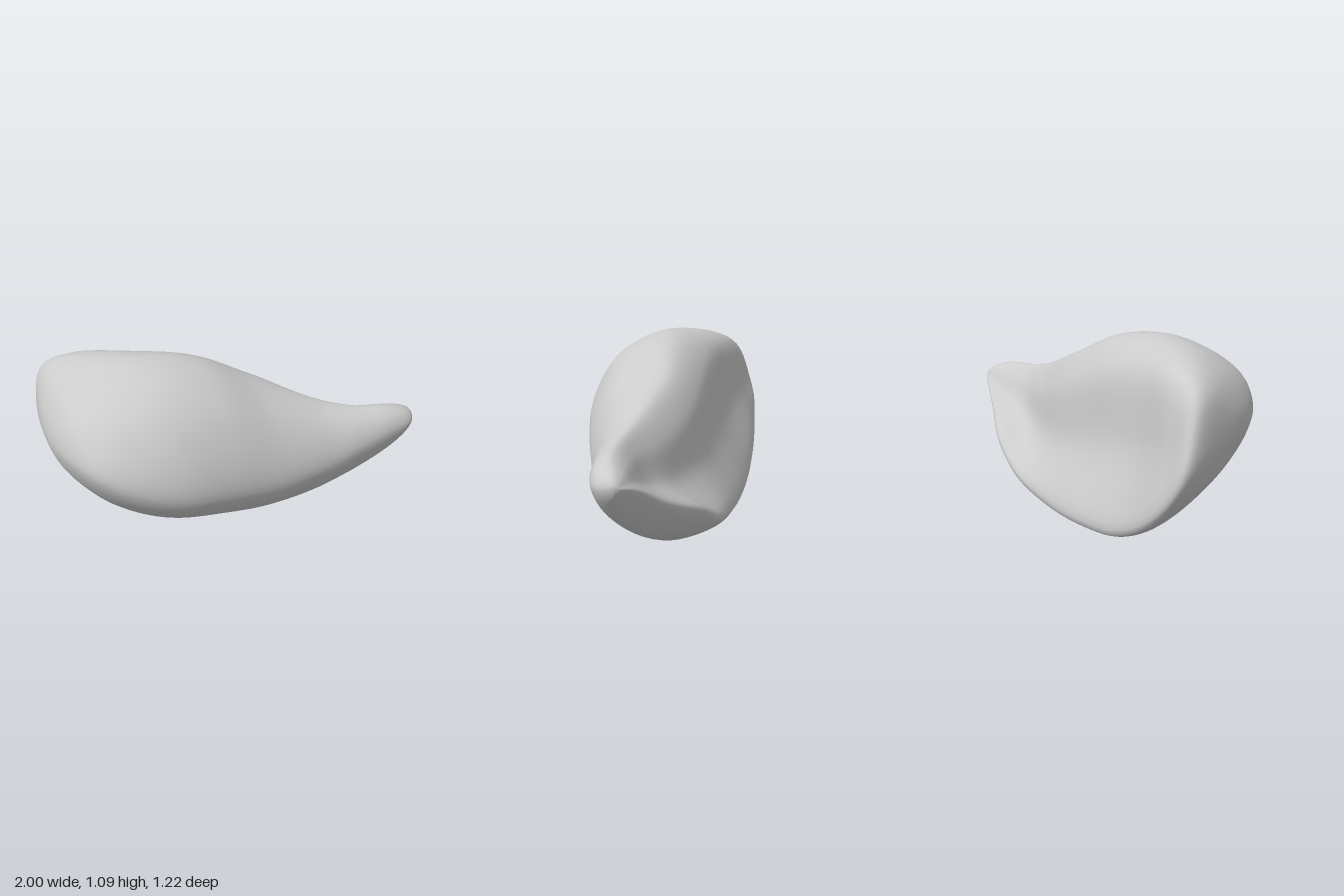
import * as THREE from 'three';
import { mergeVertices } from 'three/addons/utils/BufferGeometryUtils.js';

// Lengthwise profile of the organ, one row per station:
// x, top y, bottom y, front z, back z, z of the top, z of the bottom,
// height of the front bulge and of the back rim (0..1),
// crest setback and crest drop (0..1), hollow depth
const stations = [
  [-1.00, 0.69, 0.69, -0.05, -0.05, -0.05, -0.05, 0.5, 0.45, 0.7, 0.12, 0],
  [-0.97, 0.83, 0.56, 0.18, -0.32, -0.08, -0.08, 0.48, 0.35, 0.75, 0.1, -0.03],
  [-0.90, 0.945, 0.42, 0.34, -0.57, -0.12, -0.18, 0.45, 0.24, 0.74, 0.07, -0.05],
  [-0.75, 1.045, 0.24, 0.46, -0.585, -0.08, -0.22, 0.42, 0.1, 0.66, 0.08, -0.02],
  [-0.50, 1.09, 0.09, 0.545, -0.505, 0.03, -0.2, 0.4, 0.04, 0.54, 0.11, 0.03],
  [-0.20, 1.05, 0.03, 0.57, -0.385, 0.08, -0.1, 0.41, 0.04, 0.47, 0.15, 0.05],
  [0.10, 0.905, 0.005, 0.575, -0.25, 0.15, -0.01, 0.45, 0.08, 0.4, 0.17, 0.05],
  [0.40, 0.76, 0.05, 0.575, -0.11, 0.33, 0.13, 0.54, 0.15, 0.3, 0.18, 0.075],
  [0.60, 0.705, 0.15, 0.59, 0.02, 0.44, 0.26, 0.62, 0.25, 0.2, 0.14, 0.07],
  [0.80, 0.685, 0.32, 0.605, 0.25, 0.5, 0.43, 0.65, 0.28, 0.3, 0.13, 0.02],
  [0.93, 0.65, 0.46, 0.595, 0.39, 0.51, 0.5, 0.6, 0.4, 0.42, 0.12, 0],
  [1.00, 0.585, 0.585, 0.5, 0.5, 0.5, 0.5, 0.5, 0.5, 0.5, 0.12, 0],
];

const lerp = THREE.MathUtils.lerp;

// Closed, smooth cross-section at one x, running top, front, bottom, back
function section(x, [top, bottom, front, back, zTop, zBottom, bulge, rim, setback, drop, hollow]) {
  const h = top - bottom;
  const yFront = bottom + h * bulge;
  const yRim = bottom + h * rim;
  const zCrest = lerp(zTop, back, setback);
  const yCrest = top - h * drop;
  return new THREE.CatmullRomCurve3([
    [top, zTop],
    [lerp(yFront, top, 0.7), lerp(zTop, front, 0.7)],
    [yFront, front],
    [lerp(yFront, bottom, 0.66), lerp(zBottom, front, 0.66)],
    [bottom, zBottom],
    [yRim, back],
    [lerp(yRim, yCrest, 0.5), lerp(back, zCrest, 0.5) + hollow],
    [yCrest, zCrest],
  ].map(([y, z]) => new THREE.Vector3(x, y, z)), true);
}

// Skin over the cross-sections, spaced closer together toward the rounded ends
function bodyGeometry(rings = 96, sides = 72) {
  const size = stations[0].length - 1;
  const profile = new THREE.CubicInterpolant(
    stations.map((s) => Math.acos(-s[0])),
    stations.flatMap((s) => s.slice(1)), size, new Float32Array(size));
  const positions = [];
  const index = [];
  for (let i = 0; i <= rings; i++) {
    const angle = Math.PI * i / rings;
    const curve = section(-Math.cos(angle), Array.from(profile.evaluate(angle)));
    for (let j = 0; j < sides; j++) {
      positions.push(...curve.getPoint(j / sides).toArray());
      if (i === rings) continue;
      const a = i * sides + j;
      const c = i * sides + (j + 1) % sides;
      if (i > 0) index.push(a, c, a + sides);
      if (i < rings - 1) index.push(c, c + sides, a + sides);
    }
  }
  const geometry = new THREE.BufferGeometry();
  geometry.setAttribute('position', new THREE.Float32BufferAttribute(positions, 3));
  geometry.setIndex(index);
  const merged = mergeVertices(geometry, 1e-5);
  merged.computeVertexNormals();
  return merged;
}

export function createModel() {
  const group = new THREE.Group();
  group.name = 'liver';
  const body = new THREE.Mesh(bodyGeometry(), new THREE.MeshStandardMaterial({ color: 0xcccccc }));
  body.name = 'liverBody';
  group.add(body);
  return group;
}
